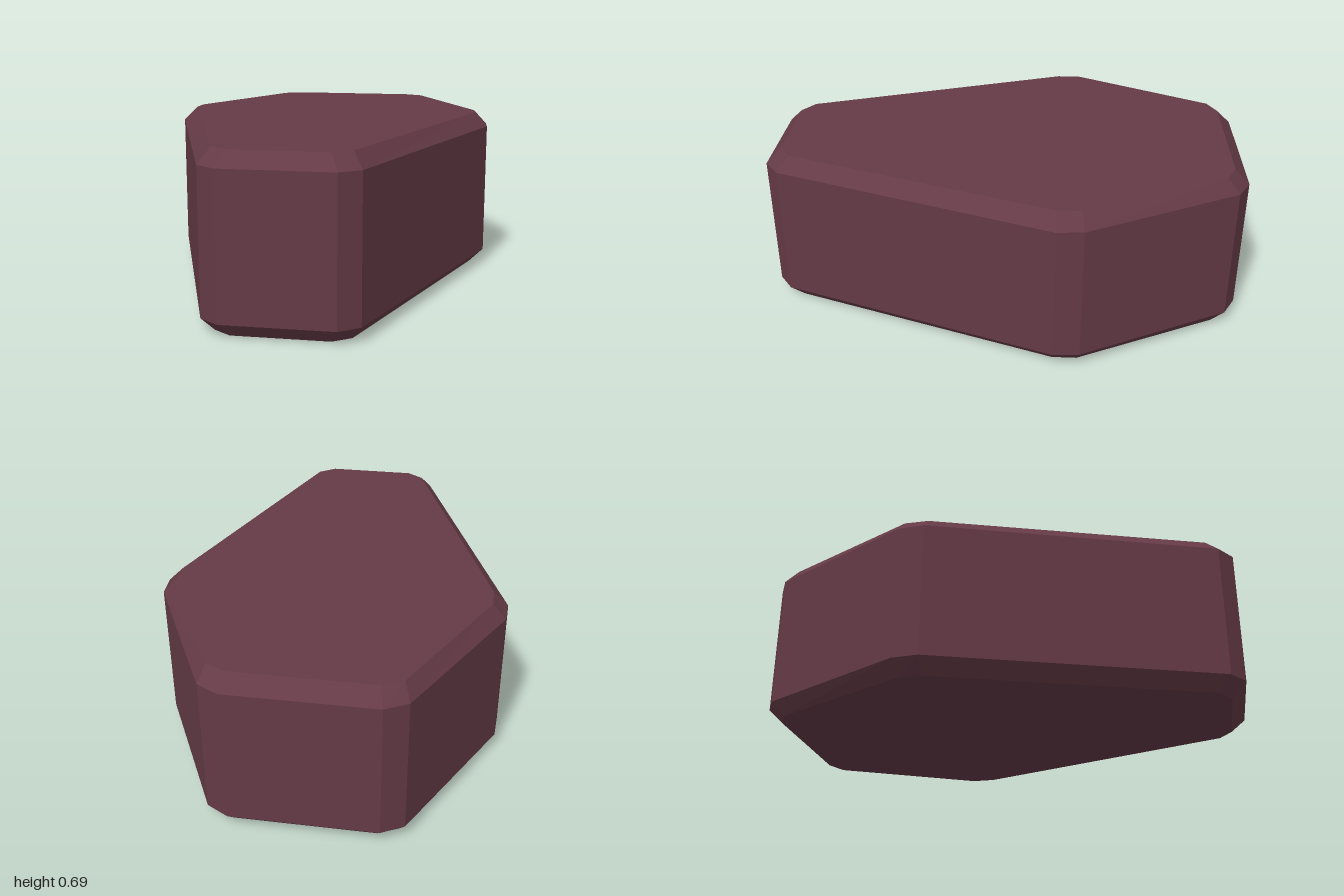
import * as THREE from 'three';

// Right half of each outline as [x, z], running from the foot (+z) to the head (-z)
const OUTER = [[0.22, 1], [0.30, 0.94], [0.712, -0.22], [0.705, -0.33], [0.385, -0.95], [0.295, -1]];
const INNER = [[0.19, 0.94], [0.26, 0.89], [0.65, -0.22], [0.65, -0.32], [0.36, -0.90], [0.28, -0.94]];

// Mirror a half outline into a closed ring at height y, counter-clockwise from above
function ring(half, y) {
  const mirrored = half.map(([x, z]) => [-x, z]).reverse();
  return [...half, ...mirrored].map(([x, z]) => [x, y, z]);
}

// Join the rings with side faces and close both ends with fans
function loft(rings) {
  const n = rings[0].length;
  const pos = [];
  const tri = (a, b, c) => pos.push(...a, ...b, ...c);
  for (let r = 0; r < rings.length - 1; r++) {
    const lo = rings[r], hi = rings[r + 1];
    for (let i = 0; i < n; i++) {
      const j = (i + 1) % n;
      tri(lo[i], lo[j], hi[j]);
      tri(lo[i], hi[j], hi[i]);
    }
  }
  const bottom = rings[0], top = rings[rings.length - 1];
  for (let i = 1; i < n - 1; i++) {
    tri(top[0], top[i], top[i + 1]);
    tri(bottom[0], bottom[i + 1], bottom[i]);
  }
  const geometry = new THREE.BufferGeometry();
  geometry.setAttribute('position', new THREE.Float32BufferAttribute(pos, 3));
  geometry.computeVertexNormals(); // unshared corners give flat faces
  return geometry;
}

export function createModel() {
  const model = new THREE.Group();
  model.name = 'coffin';

  const wood = new THREE.MeshStandardMaterial({ color: 0x643a46 });
  wood.name = 'dark plum wood';

  // Chamfered body: bottom bevel, upright walls, top bevel
  const body = new THREE.Mesh(
    loft([ring(INNER, 0), ring(OUTER, 0.06), ring(OUTER, 0.635), ring(INNER, 0.695)]),
    wood
  );
  body.name = 'coffinBody';
  model.add(body);
  return model;
}
